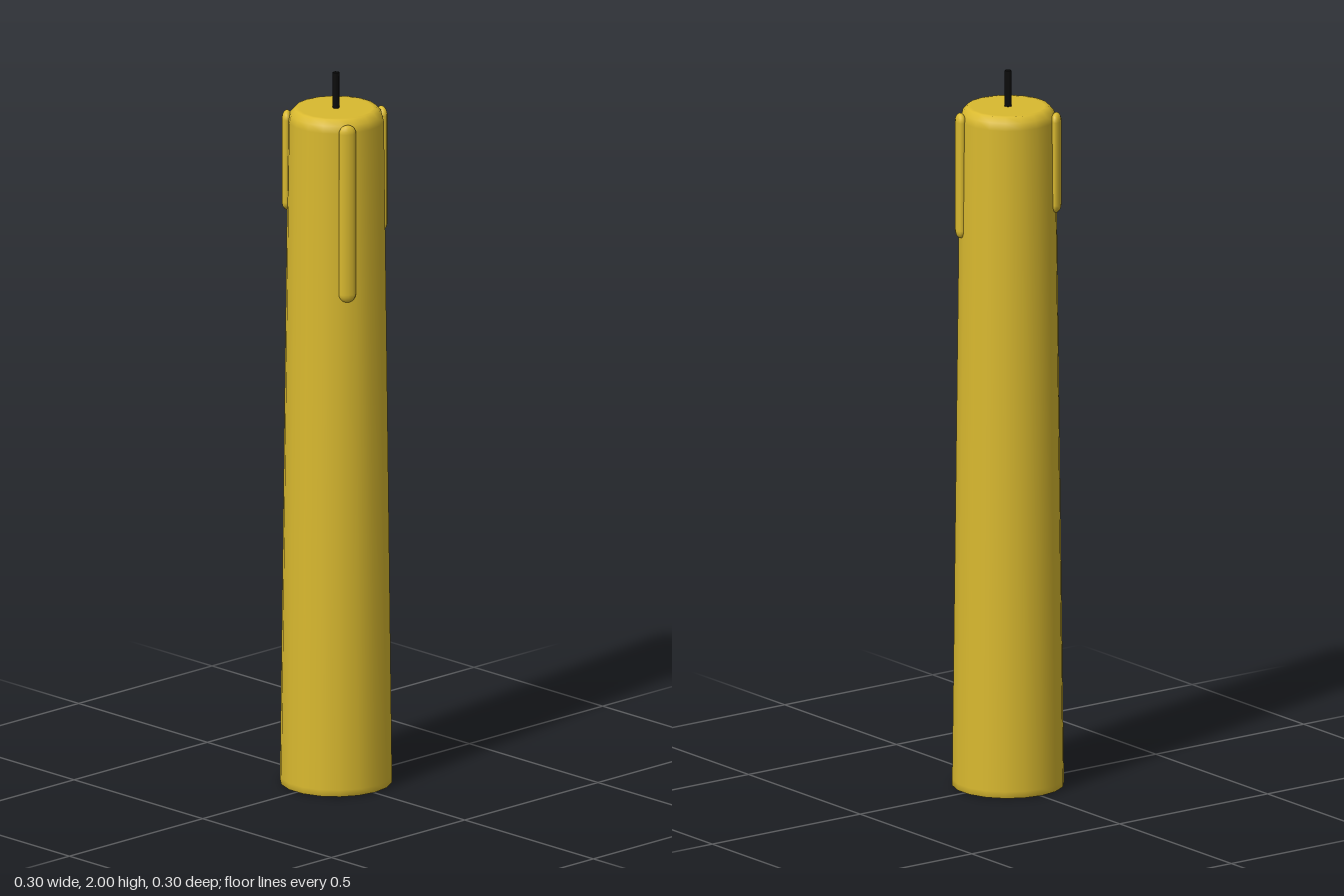
import * as THREE from 'three';

const wax = new THREE.MeshStandardMaterial({ color: 0xd9b92f });
wax.name = 'yellowWax';
const black = new THREE.MeshStandardMaterial({ color: 0x0c0c0c });
black.name = 'blackWick';

function add(parent, name, geometry, material) {
  const mesh = new THREE.Mesh(geometry, material);
  mesh.name = name;
  parent.add(mesh);
  return mesh;
}

export function createModel() {
  const group = new THREE.Group();
  group.name = 'candle';

  // Tapered 18-sided body with a softened rim
  const profile = [
    [0, 0], [0.145, 0], [0.152, 0.002], [0.152, 0.02],
    [0.13, 1.865], [0.125, 1.885], [0.112, 1.9], [0.1, 1.9], [0, 1.9],
  ].map(([r, y]) => new THREE.Vector2(r, y));
  add(group, 'body', new THREE.LatheGeometry(profile, 18), wax);

  // Wick
  const wick = add(group, 'wick', new THREE.CylinderGeometry(0.01, 0.01, 0.11, 5), black);
  wick.position.y = 1.945;

  // Flattened wax drips hanging from the rim: direction and lower end
  const top = 1.89, halfWidth = 0.024, halfDepth = 0.014, reach = 0.133;
  const drips = [
    ['frontDrip', -0.068, 0.115, 1.39],
    ['leftDrip', 0.125, 0.05, 1.54],
    ['backDrip', -0.088, -0.103, 1.61],
  ];
  for (const [name, x, z, bottom] of drips) {
    const geometry = new THREE.CapsuleGeometry(halfWidth, top - bottom - 2 * halfWidth, 5, 12);
    geometry.scale(1, 1, halfDepth / halfWidth);
    const angle = Math.atan2(x, z);
    const drip = add(group, name, geometry, wax);
    drip.rotation.y = angle;
    drip.position.set(Math.sin(angle) * reach, (top + bottom) / 2, Math.cos(angle) * reach);
  }
  return group;
}
